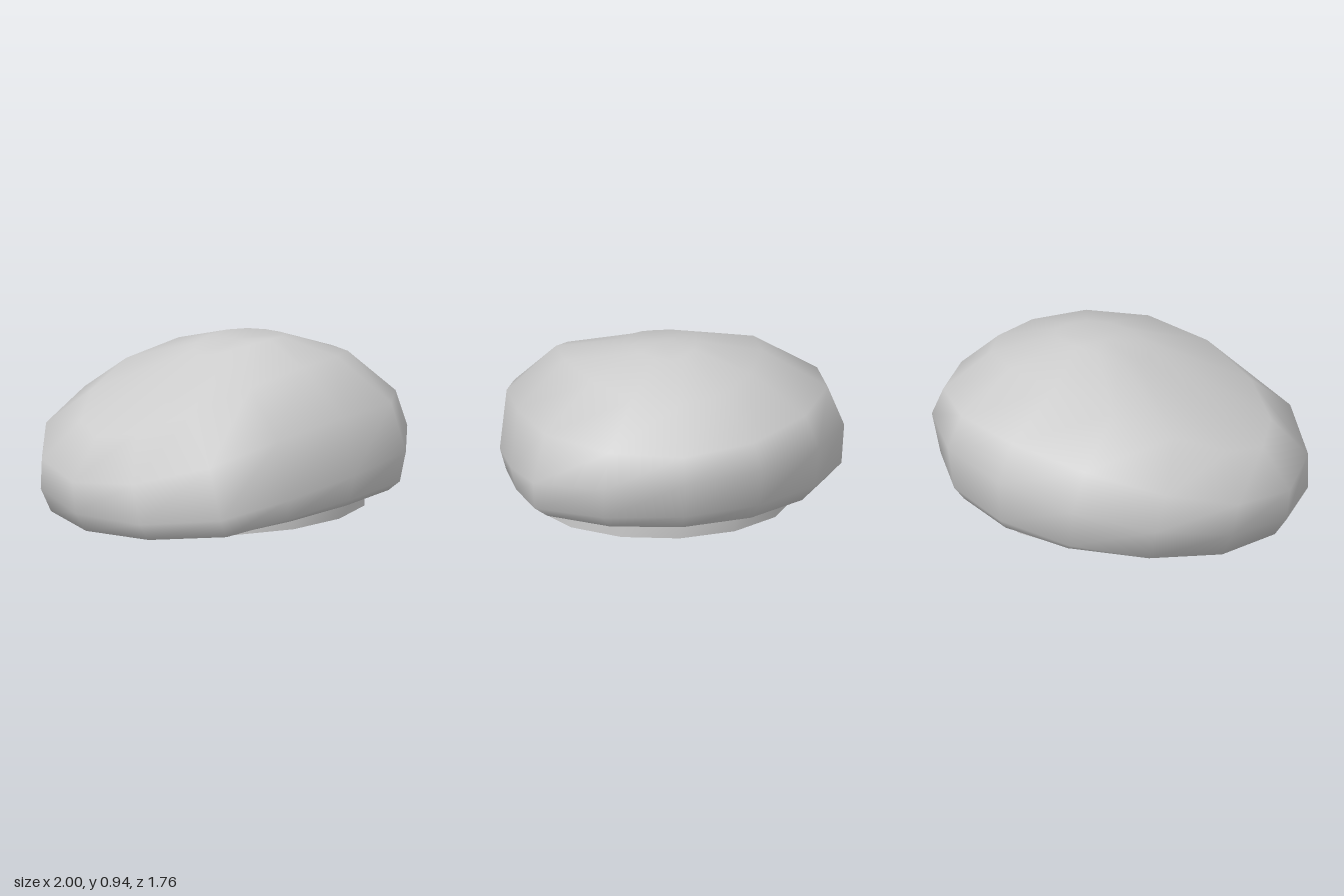
import * as THREE from 'three';

const SIDES = 14;
const CZ = 0.06; // the hat sits slightly forward of the centre

// One tilted, warped ring: extents and heights at -x, +x, back and front.
// The front is flattened at zMax.
function ring([xl, yl, xr, yr, rz, yb, zMax, yf]) {
  const points = [];
  for (let i = 0; i < SIDES; i++) {
    const a = (i / SIDES) * Math.PI * 2, c = Math.cos(a), s = Math.sin(a);
    const y = (yl + yr + yf + yb) / 4 + c * (yr - yl) / 2 + s * (yf - yb) / 2
      + Math.cos(2 * a) * (yl + yr - yf - yb) / 4;
    points.push([(xl + xr) / 2 + c * (xr - xl) / 2, y, Math.min(CZ + rz * s, zMax)]);
  }
  return points;
}

// Skins rings from bottom to top; an optional tip closes the upper end.
function loft(rings, tip) {
  const position = rings.flat(2), index = [];
  for (let r = 0; r < rings.length - 1; r++) {
    for (let i = 0; i < SIDES; i++) {
      const j = (i + 1) % SIDES, a = r * SIDES, b = a + SIDES;
      index.push(a + i, b + i, a + j, a + j, b + i, b + j);
    }
  }
  if (tip) {
    const t = position.length / 3, a = (rings.length - 1) * SIDES;
    position.push(...tip);
    for (let i = 0; i < SIDES; i++) index.push(a + i, t, a + (i + 1) % SIDES);
  }
  const geometry = new THREE.BufferGeometry();
  geometry.setAttribute('position', new THREE.Float32BufferAttribute(position, 3));
  geometry.setIndex(index);
  geometry.computeVertexNormals();
  return geometry;
}

export function createModel() {
  const group = new THREE.Group();
  const material = new THREE.MeshStandardMaterial({ color: 0xcccccc, side: THREE.DoubleSide });
  const add = (name, geometry) => {
    const mesh = new THREE.Mesh(geometry, material);
    mesh.name = name;
    group.add(mesh);
  };

  // Soft drooping crown, from the underside to the flat top
  const crown = [
    [-0.60, 0.07, 0.78, 0.18, 0.69, 0.14, 0.74, 0.13],
    [-0.78, 0.025, 0.89, 0.20, 0.86, 0.14, 0.80, 0.12],
    [-0.91, 0.03, 0.945, 0.28, 0.95, 0.21, 0.85, 0.15],
    [-0.98, 0.13, 1.00, 0.48, 0.964, 0.42, 0.88, 0.27],
    [-1.00, 0.30, 0.95, 0.62, 0.88, 0.63, 0.84, 0.59],
    [-0.84, 0.52, 0.73, 0.82, 0.535, 0.83, 0.60, 0.83],
    [-0.16, 0.88, 0.38, 0.935, 0.18, 0.94, 0.24, 0.94],
  ].map(ring);
  add('crown', loft(crown, [0.1, 0.93, CZ]));

  // Tilted head band with a flat underside
  const bottom = ring([-0.59, 0.005, 0.78, 0.09, 0.69, 0.048, 0.74, 0.048]);
  const top = ring([-0.59, 0.09, 0.78, 0.20, 0.69, 0.17, 0.74, 0.17]);
  add('headBand', loft([bottom, top]));
  const centre = [0.095, 0.048, CZ];
  add('bandUnderside', loft([bottom.slice().reverse()], centre));

  return group;
}
